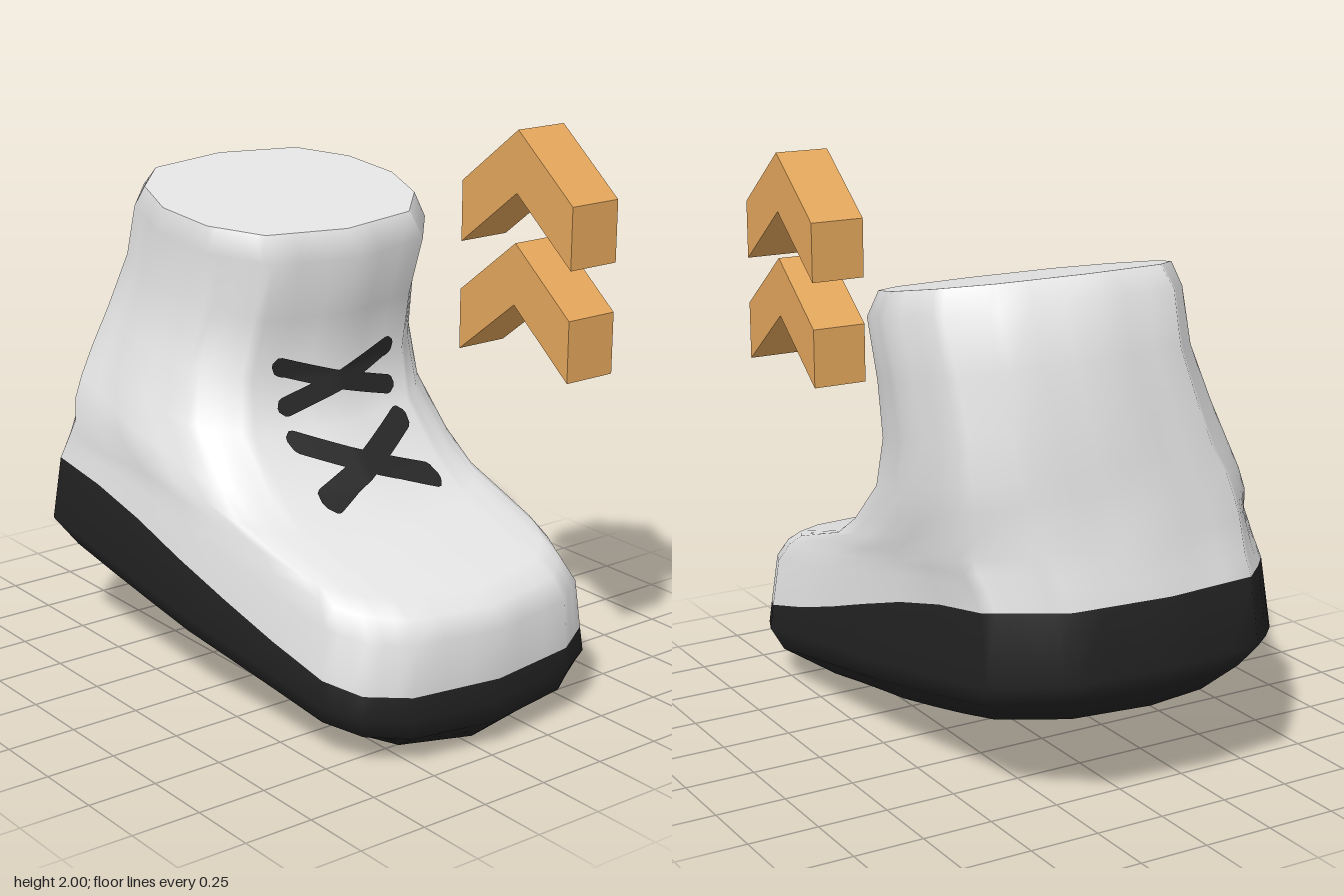
import * as THREE from 'three';

const SUB = 3, SIDES = 16, SEG = SIDES * SUB;
const mat = (name, color, side = THREE.FrontSide) => {
  const m = new THREE.MeshStandardMaterial({ color, side });
  m.name = name;
  return m;
};

// Unit outline, from +x towards +z; k = 0 is oval, k = 1 is boxy with a rounder toe than heel
function outline(k) {
  const mix = THREE.MathUtils.lerp;
  const a = [mix(0.9, 0.965, k), mix(0.5, 0.76, k)];
  const b = [mix(0.62, 0.6, k), mix(0.87, 0.965, k)];
  const quarter = (bulge) => [a, [mix(0.76, 0.8 + 0.06 * bulge, k), mix(0.685, 0.86 + 0.03 * bulge, k)], b];
  const toe = quarter(1), heel = quarter(0);
  const flip = (pts, sx, sz) => pts.map(([x, z]) => [x * sx, z * sz]);
  const corners = [
    [1, 0], ...toe, [0, 1], ...flip(toe, -1, 1).reverse(),
    [-1, 0], ...flip(heel, -1, -1), [0, -1], ...flip(heel, 1, -1).reverse(),
  ];
  return corners.flatMap((p, i) => {
    const q = corners[(i + 1) % SIDES];
    return Array.from({ length: SUB }, (_, s) => [mix(p[0], q[0], s / SUB), mix(p[1], q[1], s / SUB)]);
  });
}

// Tilted ring: front z,y / back z,y / half width, narrowing to the toe / centre x, drift along z / boxiness / mid-length lift
function ring([zf, yf, zb, yb, w, taper, cx, slant, k, lift]) {
  return outline(k).map(([u, v]) => {
    const t = (1 - v) / 2;
    const z = zf + (zb - zf) * t;
    const rise = lift * (Math.sin(Math.PI * t) - 0.8 * Math.sin(2 * Math.PI * t));
    return [cx + slant * z + w * (1 - taper * z) * u, yf + (yb - yf) * t + rise, z];
  });
}

function geometry(pos, idx) {
  const g = new THREE.BufferGeometry();
  g.setAttribute('position', new THREE.Float32BufferAttribute(pos.flat(), 3));
  g.setIndex(idx);
  g.computeVertexNormals();
  return g;
}

const centre = (pts) => [0, 1, 2].map((k) => pts.reduce((sum, p) => sum + p[k], 0) / pts.length);

// Skin over the rings, listed from bottom to top
function loft(rings, closeBottom) {
  const pos = rings.flat(), idx = [];
  for (let i = 0; i < rings.length - 1; i++) {
    for (let j = 0; j < SEG; j++) {
      const k = (j + 1) % SEG, a = i * SEG, b = a + SEG;
      idx.push(a + j, b + j, a + k, a + k, b + j, b + k);
    }
  }
  if (closeBottom) {
    const c = pos.push(centre(rings[0])) - 1;
    for (let j = 0; j < SEG; j++) idx.push(c, j, (j + 1) % SEG);
  }
  return geometry(pos, idx);
}

function topCap(pts) {
  const idx = [];
  for (let j = 0; j < SEG; j++) idx.push(SEG, (j + 1) % SEG, j);
  return geometry([...pts, centre(pts)], idx);
}

// Thin round-ended lace strip laid on the front of the upper
function lace(target, [x0, y0], [x1, y1]) {
  const ray = new THREE.Raycaster(), dir = new THREE.Vector3(0, 0, -1);
  const along = 36, across = 4, pos = [], idx = [];
  const len = Math.hypot(x1 - x0, y1 - y0);
  const nx = -(y1 - y0) / len, ny = (x1 - x0) / len;
  for (let i = 0; i <= along; i++) {
    const t = i / along;
    const end = Math.min(1, 16 * Math.min(t, 1 - t));
    const hw = 0.033 * Math.sqrt(0.04 + 0.96 * end * (2 - end));
    for (let k = 0; k <= across; k++) {
      const o = hw * (2 * k / across - 1);
      const x = x0 + (x1 - x0) * t + nx * o;
      const y = y0 + (y1 - y0) * t + ny * o - 0.008 * Math.sin(Math.PI * t);
      ray.set(new THREE.Vector3(x, y, 3), dir);
      const hit = ray.intersectObject(target)[0];
      pos.push(hit.point.addScaledVector(hit.face.normal, 0.007).toArray());
      if (i < along && k < across) {
        const a = i * (across + 1) + k, b = a + across + 1;
        idx.push(a, b, a + 1, a + 1, b, b + 1);
      }
    }
  }
  return geometry(pos, idx);
}

export function createModel() {
  const model = new THREE.Group();
  model.name = 'bootWithArrows';
  const grey = mat('bootGrey', 0xe4e4e4);
  const black = mat('soleBlack', 0x232323);
  const dark = mat('laceDark', 0x272727, THREE.DoubleSide);
  const orange = mat('arrowOrange', 0xe4a75c);
  const add = (name, geo, material, parent = model) => {
    const m = new THREE.Mesh(geo, material);
    m.name = name;
    parent.add(m);
    return m;
  };

  // Sole, toe pointing down
  const seam = [0.97, 0.25, -0.94, 0.73, 0.568, 0.02, -0.005, 0.06, 0.95, 0.035];
  const sole = [
    [0.85, 0.0, -0.86, 0.33, 0.42, 0, 0, 0.05, 0.5, -0.012],
    [0.955, 0.09, -0.925, 0.42, 0.54, 0.01, 0, 0.06, 0.85, -0.005],
    [0.97, 0.17, -0.977, 0.5, 0.575, 0.02, -0.005, 0.06, 1, 0],
    seam,
  ].map(ring);
  add('sole', loft(sole, true), black);

  // Upper: toe box, vamp, ankle and collar
  const upper = [
    seam,
    [0.98, 0.43, -0.925, 0.8, 0.56, 0.05, 0, 0.05, 0.88, 0.025],
    [0.94, 0.5, -0.91, 0.86, 0.557, 0.09, 0.003, 0.045, 0.8, 0.01],
    [0.87, 0.545, -0.9, 0.92, 0.557, 0.11, 0.005, 0.04, 0.7, 0],
    [0.5, 0.65, -0.88, 1.0, 0.563, 0.08, 0.008, 0.03, 0.58, 0],
    [0.34, 0.74, -0.865, 1.08, 0.563, 0.05, 0.015, 0.02, 0.48, 0],
    [0.14, 0.92, -0.85, 1.16, 0.552, 0.03, 0.033, 0, 0.36, 0],
    [0.09, 1.1, -0.825, 1.31, 0.533, 0, 0.058, 0, 0.2, 0],
    [0.1, 1.3, -0.785, 1.5, 0.514, 0, 0.093, 0, 0.1, 0],
    [0.165, 1.51, -0.73, 1.68, 0.528, 0, 0.0925, 0, 0, 0],
    [0.11, 1.605, -0.65, 1.75, 0.502, 0, 0.083, 0, 0, 0],
  ].map(ring);
  const upperMesh = add('upper', loft(upper, false), grey);
  add('collarTop', topCap(upper[upper.length - 1]), grey);

  // Two crossed pairs of laces
  const laces = new THREE.Group();
  laces.name = 'laces';
  model.add(laces);
  for (const [top, bottom] of [[1.155, 1.0], [0.905, 0.725]]) {
    add('laceFalling', lace(upperMesh, [-0.2, top], [0.31, bottom]), dark, laces);
    add('laceRising', lace(upperMesh, [-0.2, bottom], [0.325, top]), dark, laces);
  }

  // Floating chevron arrows beside the toe
  const chevron = new THREE.Shape([
    [0.405, -0.42], [0.675, -0.21], [0.94, -0.42], [0.94, -0.21], [0.675, 0], [0.405, -0.21],
  ].map(([z, y]) => new THREE.Vector2(z, y)));
  for (const y of [2, 1.623]) {
    const g = new THREE.ExtrudeGeometry(chevron, { depth: 0.2, bevelEnabled: false });
    g.rotateY(-Math.PI / 2).translate(0.54, y, 0);
    add('chevronArrow', g, orange);
  }
  return model;
}
